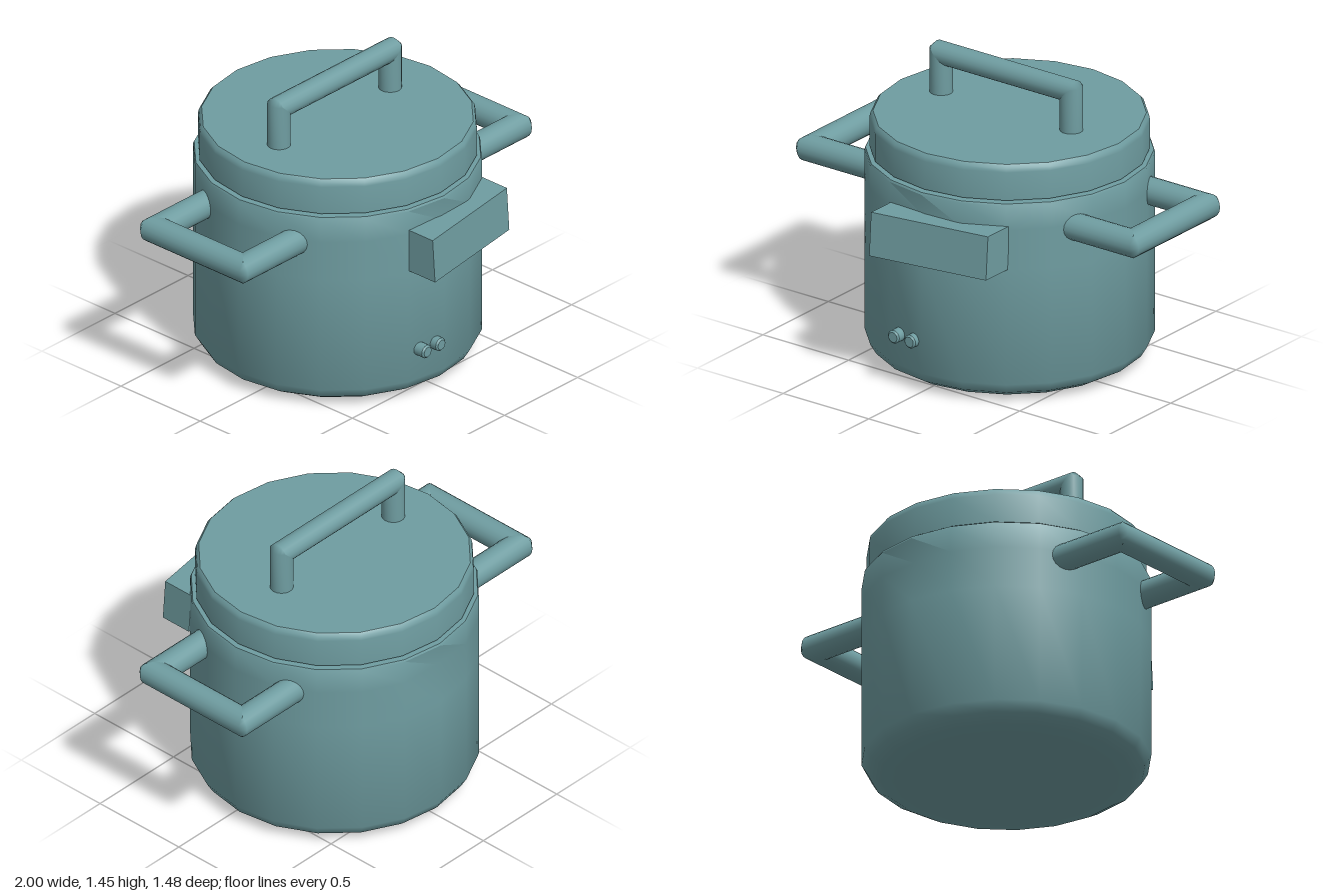
import * as THREE from 'three';
import { toCreasedNormals } from 'three/addons/utils/BufferGeometryUtils.js';

const SIDES = 20;
const CX = 0.01, CZ = -0.065; // axis of the pot
const material = new THREE.MeshStandardMaterial({ color: 0x6f9da1 });

function addMesh(parent, geometry, name) {
  const mesh = new THREE.Mesh(geometry, material);
  mesh.name = name;
  parent.add(mesh);
  return mesh;
}

function lathe(profile, sides = SIDES) {
  return new THREE.LatheGeometry(profile.map(([r, y]) => new THREE.Vector2(r, y)), sides);
}

// Round rod along a path of right-angled turns, mitred with softened outer corners.
// N is the normal of the plane the path lies in.
function bentRod(path, radius, N, soft = 0.03, sides = 18) {
  const P = path.map(p => new THREE.Vector3(...p));
  const dirs = P.slice(1).map((p, i) => p.clone().sub(P[i]).normalize());
  const pos = [], index = [];
  let rings = 0;
  const ring = (point, dir, shift) => {
    const n = N.clone().cross(dir);
    for (let j = 0; j < sides; j++) {
      const a = (j / sides) * Math.PI * 2;
      const u = Math.cos(a) * radius, w = Math.sin(a) * radius;
      const v = point.clone().addScaledVector(n, u).addScaledVector(N, w).addScaledVector(dir, shift(u));
      pos.push(v.x, v.y, v.z);
    }
    rings++;
  };
  ring(P[0], dirs[0], () => 0);
  for (let i = 1; i < P.length - 1; i++) {
    const s = -Math.sign(N.clone().cross(dirs[i - 1]).dot(dirs[i]));
    const reach = u => Math.min(s * u, radius - soft);
    ring(P[i], dirs[i - 1], reach);
    ring(P[i], dirs[i], u => -reach(u));
  }
  ring(P[P.length - 1], dirs[dirs.length - 1], () => 0);
  for (let i = 0; i < rings - 1; i++) {
    for (let j = 0; j < sides; j++) {
      const k = (j + 1) % sides;
      const a = i * sides + j, b = i * sides + k, c = a + sides, d = b + sides;
      index.push(a, b, c, b, d, c);
    }
  }
  const g = new THREE.BufferGeometry();
  g.setAttribute('position', new THREE.Float32BufferAttribute(pos, 3));
  g.setIndex(index);
  g.computeVertexNormals();
  return g;
}

export function createModel() {
  const group = new THREE.Group();
  group.name = 'cookingPot';

  // Pot body with a rounded base and a slight dent at the front and back
  const bodyGeo = lathe([
    [0, 0], [0.47, 0], [0.585, 0.015], [0.645, 0.05], [0.675, 0.1],
    [0.675, 0.68], [0.675, 0.88], [0.675, 1.0], [0.67, 1.01], [0, 1.01],
  ]);
  const bp = bodyGeo.attributes.position;
  for (let i = 0; i < bp.count; i++) {
    if (Math.abs(bp.getX(i)) < 0.01 && Math.abs(bp.getY(i) - 0.88) < 0.01) {
      bp.setZ(i, bp.getZ(i) * 0.965);
    }
  }
  addMesh(group, toCreasedNormals(bodyGeo, 0.65), 'body').position.set(CX, 0, CZ);

  // Lid sitting on a narrower neck
  const lidGeo = lathe([
    [0.58, 1.0], [0.58, 1.02], [0.652, 1.02], [0.652, 1.16],
    [0.648, 1.18], [0.635, 1.195], [0, 1.195],
  ]);
  addMesh(group, toCreasedNormals(lidGeo, 0.65), 'lid').position.set(CX, 0, CZ);

  // Lid handle
  addMesh(group, bentRod(
    [[-0.39, 1.17, CZ], [-0.39, 1.39, CZ], [0.37, 1.39, CZ], [0.37, 1.17, CZ]],
    0.055, new THREE.Vector3(0, 0, 1)), 'lidHandle');

  // Side handles
  for (const s of [1, -1]) {
    addMesh(group, bentRod(
      [[s * 0.52, 0.86, 0.21], [s * 0.935, 0.86, 0.21], [s * 0.935, 0.86, -0.34], [s * 0.52, 0.86, -0.34]],
      0.066, new THREE.Vector3(0, 1, 0)), s > 0 ? 'leftHandle' : 'rightHandle');
  }

  // Control panel: a box skewed sideways, its bottom leaning slightly forward
  const panelGeo = new THREE.BoxGeometry(0.61, 0.215, 0.165);
  const pp = panelGeo.attributes.position;
  for (let i = 0; i < pp.count; i++) {
    pp.setZ(i, pp.getZ(i) - 0.155 * pp.getX(i) - 0.07 * pp.getY(i));
  }
  panelGeo.computeVertexNormals();
  addMesh(group, panelGeo, 'controlPanel').position.set(0.11, 0.792, 0.604);

  // Two small buttons below the panel
  for (const x of [-0.135, -0.04]) {
    const geo = lathe([[0.033, 0], [0.033, 0.072], [0.025, 0.08], [0, 0.08]], 16);
    geo.rotateX(Math.PI / 2);
    addMesh(group, toCreasedNormals(geo, 0.6), 'button').position.set(x, 0.255, 0.56);
  }

  return group;
}
